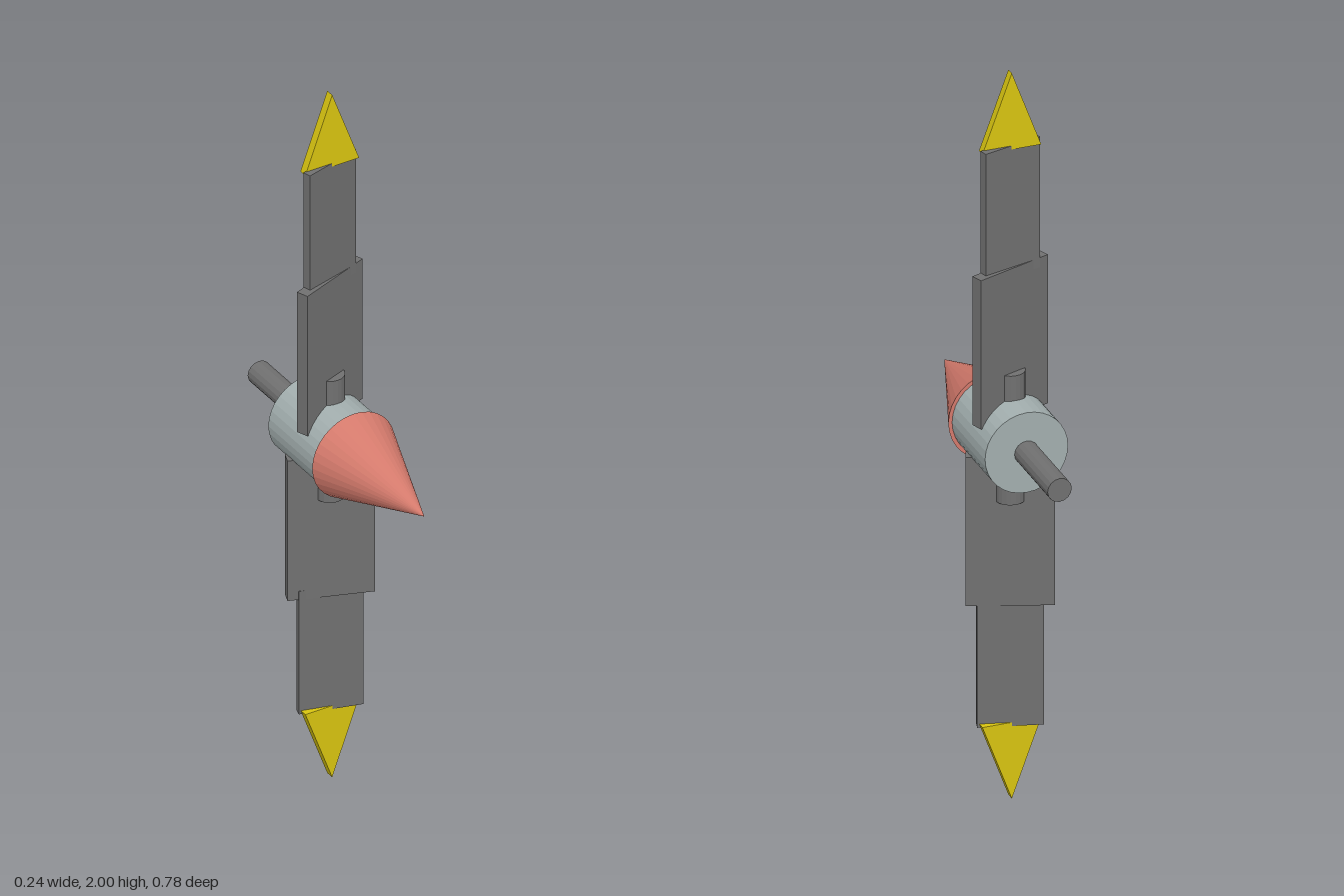
import * as THREE from 'three';

const material = (name, color) => {
  const m = new THREE.MeshStandardMaterial({ color });
  m.name = name;
  return m;
};

export function createModel() {
  const grey = material('dark grey', 0x707070);
  const yellow = material('yellow', 0xd8c410);
  const red = material('salmon red', 0xd47a6c);
  const silver = material('pale silver', 0xa3afaf);

  const model = new THREE.Group();
  model.name = 'propeller';

  const add = (parent, name, geometry, mat) => {
    const mesh = new THREE.Mesh(geometry, mat);
    mesh.name = name;
    parent.add(mesh);
    return mesh;
  };

  // Round part along z, with a radius at its back and at its front
  const turned = (name, rBack, rFront, zBack, zFront, sides, mat) => {
    const g = new THREE.CylinderGeometry(rFront, rBack, zFront - zBack, sides).toNonIndexed();
    g.computeVertexNormals(); // flat facets
    g.rotateX(Math.PI / 2);
    add(model, name, g, mat).position.set(0, 1, (zBack + zFront) / 2);
  };
  turned('driveShaft', 0.032, 0.032, -0.39, -0.16, 16, grey);
  turned('hub', 0.11, 0.11, -0.167, 0.055, 32, silver);
  turned('spinnerCone', 0.12, 0, 0.055, 0.387, 32, red);

  // One blade, pointing up from the hub centre
  const makeBlade = () => {
    const blade = new THREE.Group();
    const slab = (name, w, t, y0, y1, degrees) => {
      const mesh = add(blade, name, new THREE.BoxGeometry(w, y1 - y0, t), grey);
      mesh.position.y = (y0 + y1) / 2;
      mesh.rotation.y = THREE.MathUtils.degToRad(degrees);
    };

    const stub = new THREE.CylinderGeometry(0.038, 0.038, 0.18, 20).toNonIndexed();
    stub.computeVertexNormals();
    add(blade, 'bladeRoot', stub, grey).position.y = 0.088;

    slab('innerBlade', 0.22, 0.033, 0.055, 0.465, 20);
    slab('outerBlade', 0.166, 0.022, 0.44, 0.8, 15);

    // Untwisted triangular tip
    const tip = new THREE.Shape();
    tip.moveTo(-0.078, 0.79);
    tip.lineTo(0.078, 0.79);
    tip.lineTo(0, 1);
    const depth = 0.023;
    const tipGeometry = new THREE.ExtrudeGeometry(tip, { depth, bevelEnabled: false });
    tipGeometry.translate(0, 0, -depth / 2);
    add(blade, 'bladeTip', tipGeometry, yellow);
    return blade;
  };

  // Two opposite blades, half a turn apart
  ['upperBlade', 'lowerBlade'].forEach((name, i) => {
    const blade = makeBlade();
    blade.name = name;
    blade.position.set(0, 1, -0.0565);
    blade.rotation.z = i * Math.PI;
    model.add(blade);
  });

  return model;
}
